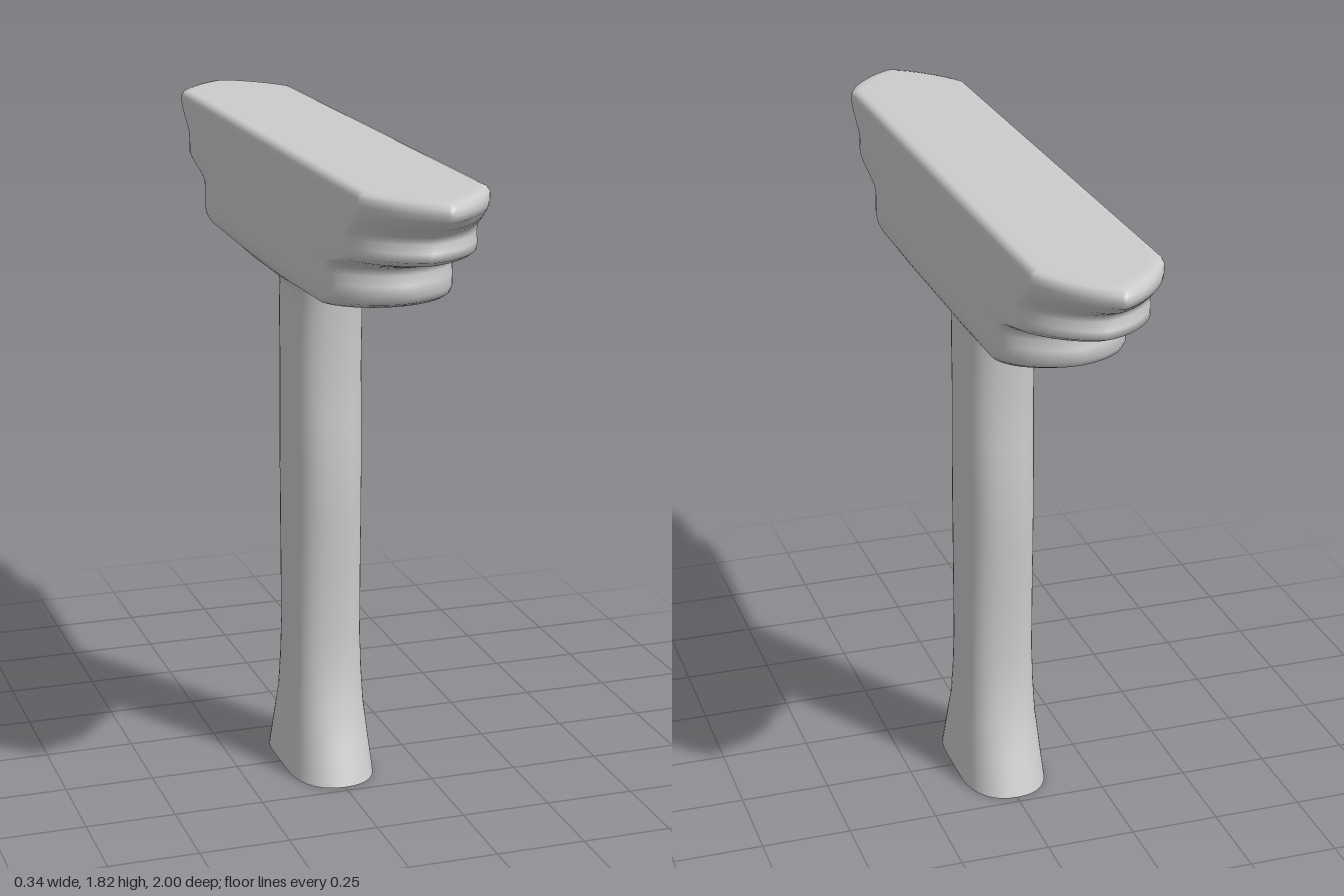
import * as THREE from 'three';

// Level: [height, half width x, half length z, straight side half length, end roundness]
const COLUMN = [
  [0, 0.12, 0.228, 0.07, 2.3],
  [0.1, 0.112, 0.19, 0.06, 2.3],
  [0.2, 0.104, 0.153, 0.05, 2.3],
  [0.3, 0.1, 0.138, 0.045, 2.3],
  [0.4, 0.098, 0.125, 0.045, 2.3],
  [0.6, 0.098, 0.13, 0.045, 2.3],
  [0.75, 0.098, 0.138, 0.045, 2.3],
  [0.9, 0.098, 0.142, 0.045, 2.3],
  [1.05, 0.098, 0.136, 0.045, 2.3],
  [1.18, 0.098, 0.129, 0.045, 2.3],
  [1.33, 0.098, 0.139, 0.045, 2.3],
  [1.4, 0.095, 0.138, 0.05, 2.3],
];
const HEAD = [
  [1.425, 0.1, 0.145, 0.055, 2.3],
  [1.442, 0.122, 0.18, 0.08, 2.3],
  [1.457, 0.15, 0.24, 0.12, 2.2],
  [1.47, 0.16, 0.36, 0.24, 2.1],
  [1.477, 0.163, 0.48, 0.38, 2],
  [1.481, 0.165, 0.62, 0.5, 1.9],
  // lower tier
  [1.495, 0.169, 0.655, 0.53, 1.8],
  [1.515, 0.17, 0.675, 0.55, 1.7],
  [1.545, 0.17, 0.672, 0.55, 1.7],
  [1.57, 0.17, 0.66, 0.55, 1.7],
  [1.59, 0.17, 0.67, 0.55, 1.7],
  [1.605, 0.17, 0.725, 0.58, 1.6],
  [1.632, 0.17, 0.84, 0.68, 1.6],
  // middle tier
  [1.648, 0.17, 0.877, 0.71, 1.6],
  [1.67, 0.17, 0.877, 0.71, 1.6],
  [1.69, 0.17, 0.862, 0.71, 1.6],
  [1.71, 0.17, 0.875, 0.72, 1.5],
  [1.74, 0.17, 0.945, 0.76, 1.4],
  // top slab
  [1.768, 0.17, 0.992, 0.79, 1.35],
  [1.785, 0.17, 1, 0.8, 1.3],
  [1.8, 0.169, 0.997, 0.8, 1.3],
  [1.811, 0.164, 0.982, 0.795, 1.3],
  [1.815, 0.152, 0.955, 0.785, 1.3],
  [1.815, 0.14, 0.935, 0.775, 1.3],
  [1.815, 0, 0.775, 0.775, 1.3],
];

// Outline of one level: straight flanks with rounded or pointed ends, mirrored on both axes
function outline([, w, l, s, n]) {
  const quarter = [];
  for (let i = 0; i < 5; i++) quarter.push([w, (s * i) / 5]);
  for (let i = 0; i <= 10; i++) {
    const a = (i / 10) * Math.PI / 2;
    const c = Math.max(0, Math.cos(a)), d = Math.sin(a);
    quarter.push([i === 10 ? 0 : w * c ** (2 / n), s + (l - s) * d ** (2 / n)]);
  }
  const half = [
    ...quarter,
    ...quarter.slice(0, -1).reverse().map(([x, z]) => [-x, z]),
  ];
  return [...half, ...half.slice(1, -1).reverse().map(([x, z]) => [x, -z])];
}

export function createModel() {
  const levels = [...COLUMN, ...HEAD];
  const position = [];
  let count = 0;
  for (const level of levels) {
    const ring = outline(level);
    count = ring.length;
    for (const [x, z] of ring) position.push(x, level[0], z);
  }

  // Skin between two levels
  const skin = (from, to) => {
    const index = [];
    for (let j = from; j < to; j++) {
      for (let i = 0; i < count; i++) {
        const a = j * count + i, b = j * count + ((i + 1) % count);
        index.push(a, a + count, b, b, a + count, b + count);
      }
    }
    return index;
  };

  // Shared normals keep the join between column and head smooth
  const whole = new THREE.BufferGeometry();
  whole.setAttribute('position', new THREE.Float32BufferAttribute(position, 3));
  whole.setIndex(skin(0, levels.length - 1));
  whole.computeVertexNormals();
  // The flat top ends in a spine line that faces straight up
  const normal = whole.attributes.normal;
  for (let i = normal.count - 2 * count; i < normal.count; i++) normal.setXYZ(i, 0, 1, 0);

  const material = new THREE.MeshStandardMaterial({ color: 0xcccccc, side: THREE.DoubleSide });
  const group = new THREE.Group();
  group.name = 'pillarWithSteppedCapital';
  const addPart = (name, from, to) => {
    const geometry = whole.clone();
    geometry.setIndex(skin(from, to));
    const mesh = new THREE.Mesh(geometry, material);
    mesh.name = name;
    group.add(mesh);
  };
  addPart('column', 0, COLUMN.length);
  addPart('steppedCapital', COLUMN.length, levels.length - 1);
  return group;
}
